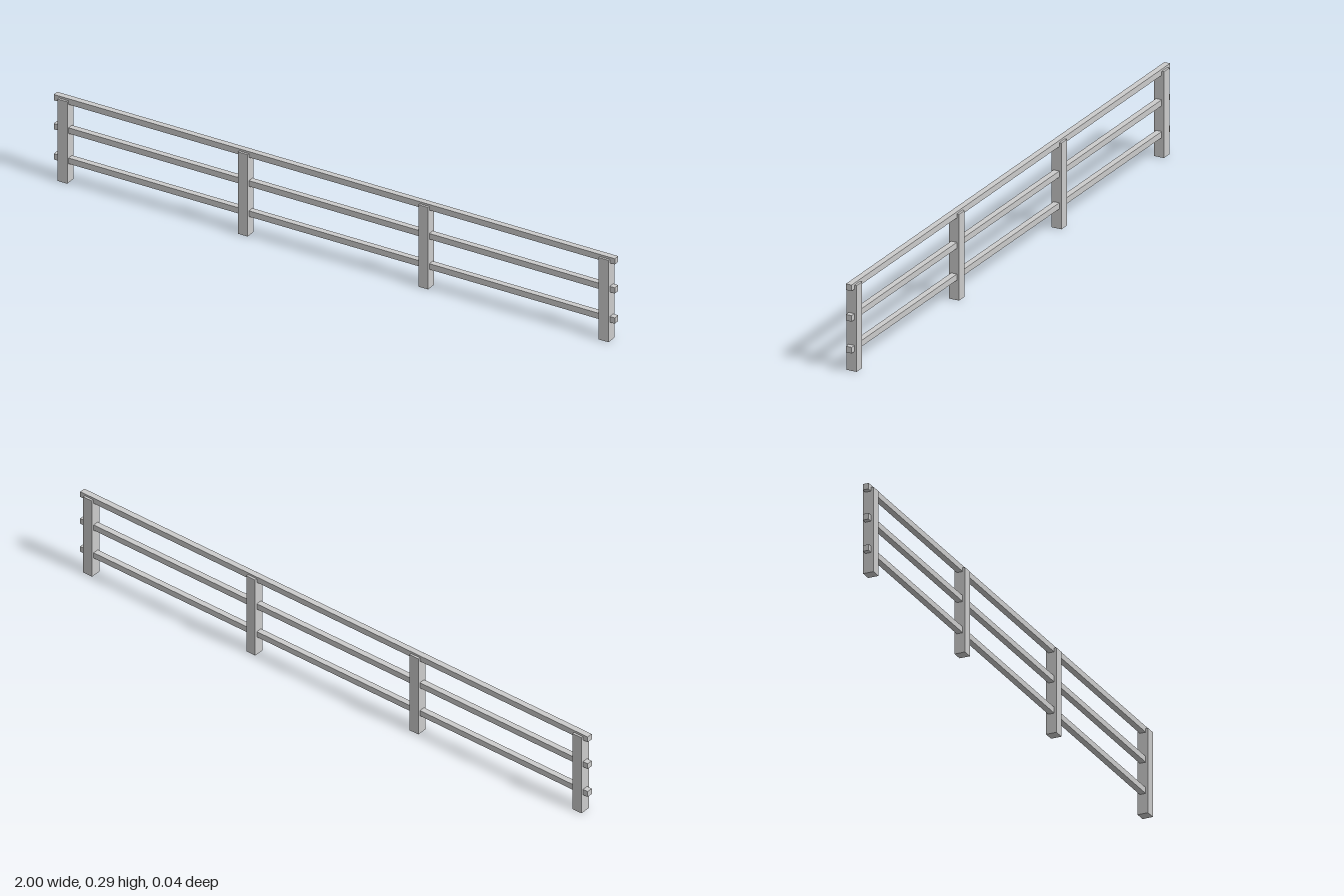
import * as THREE from 'three';

export function createModel() {
  const fence = new THREE.Group();
  fence.name = 'fence';
  const material = new THREE.MeshStandardMaterial({ color: 0xcccccc, flatShading: true });

  const addBox = (name, width, height, depth, x, y) => {
    const mesh = new THREE.Mesh(new THREE.BoxGeometry(width, height, depth), material);
    mesh.name = name;
    mesh.position.set(x, y, 0);
    fence.add(mesh);
  };

  // Four evenly spaced square posts
  const postHeight = 0.285, postSize = 0.035, spacing = 0.643;
  for (let i = 0; i < 4; i++) {
    addBox(`post${i + 1}`, postSize, postHeight, postSize, (i - 1.5) * spacing, postHeight / 2);
  }

  // Three full-length rails running through the posts
  const rails = { bottomRail: 0.076, middleRail: 0.181, topRail: 0.282 };
  for (const [name, y] of Object.entries(rails)) addBox(name, 2, 0.02, 0.02, 0, y);

  return fence;
}
